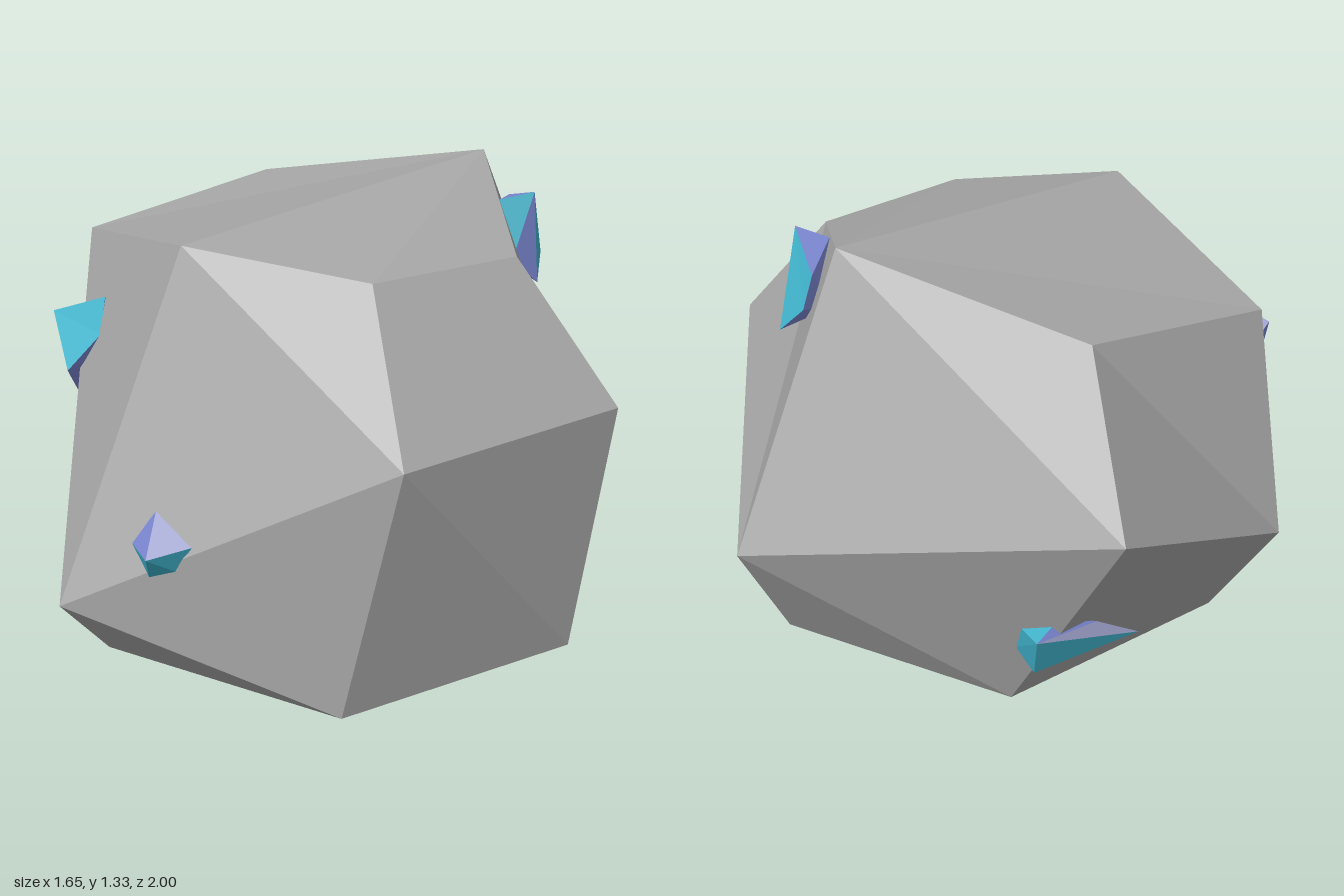
import * as THREE from 'three';

const makeMaterial = (name, color) => {
  const m = new THREE.MeshStandardMaterial({ color, flatShading: true });
  m.name = name;
  return m;
};

// Flat-shaded geometry from a list of triangles, each with three [x, y, z] corners
function facets(triangles) {
  const geometry = new THREE.BufferGeometry();
  geometry.setAttribute('position', new THREE.Float32BufferAttribute(triangles.flat(2), 3));
  geometry.computeVertexNormals();
  return geometry;
}

// Boulder: three six-sided rings, joined by two bands and closed with fans
function boulderGeometry() {
  const base = [];
  for (let i = 0; i < 6; i++) {
    const a = (i * Math.PI) / 3;
    base.push([0.035 + 0.785 * Math.sin(a), 0, 0.16 + 0.785 * Math.cos(a)]);
  }
  const waist = [
    [0.19, 0.757, 1.0], [0.82, 0.75, 0.535], [0.825, 0.485, -0.49],
    [-0.23, 0.84, -1.0], [-0.797, 0.42, -0.42], [-0.752, 0.24, 0.74],
  ];
  const crown = [
    [0.12, 1.145, 0.62], [0.54, 1.14, 0.35], [0.495, 1.325, -0.195],
    [-0.19, 1.18, -0.54], [-0.735, 1.075, -0.2], [-0.4, 1.215, 0.49],
  ];
  const tris = [];
  for (const [low, high] of [[base, waist], [waist, crown]]) {
    for (let i = 0; i < 6; i++) {
      const j = (i + 1) % 6;
      tris.push([low[i], low[j], high[i]], [low[j], high[j], high[i]]);
    }
  }
  // The crown fans out from its highest corner
  for (let k = 1; k < 5; k++) {
    tris.push([crown[2], crown[(2 + k) % 6], crown[(3 + k) % 6]]);
    tris.push([base[0], base[k + 1], base[k]]);
  }
  return facets(tris);
}

// Gem: a ring of corners joined to an outer tip and to a root buried in the boulder.
// colors holds one letter per tip facet; root facets are violet.
function makeGem(name, materials, { tip, ring, root, colors }) {
  const all = [tip, root, ...ring];
  const centre = new THREE.Vector3();
  all.forEach((p) => centre.add(new THREE.Vector3(...p)));
  centre.divideScalar(all.length);

  // Order the corners so that each facet looks away from the centre
  const outward = (a, b, c) => {
    const [A, B, C] = [a, b, c].map((p) => new THREE.Vector3(...p));
    const normal = B.clone().sub(A).cross(C.clone().sub(A));
    return normal.dot(A.sub(centre)) < 0 ? [a, c, b] : [a, b, c];
  };

  const byColor = { t: [], v: [], p: [] };
  ring.forEach((p, i) => {
    const q = ring[(i + 1) % ring.length];
    byColor[colors[i]].push(outward(tip, p, q));
    byColor.v.push(outward(root, p, q));
  });

  const gem = new THREE.Group();
  gem.name = name;
  for (const key of Object.keys(byColor)) {
    if (!byColor[key].length) continue;
    const mesh = new THREE.Mesh(facets(byColor[key]), materials[key]);
    mesh.name = `${name} ${materials[key].name} facets`;
    gem.add(mesh);
  }
  return gem;
}

const GEMS = {
  frontGem: {
    tip: [-0.49, 0.455, 0.885],
    ring: [[-0.47, 0.54, 0.755], [-0.54, 0.445, 0.755], [-0.49, 0.33, 0.78],
      [-0.385, 0.37, 0.81], [-0.37, 0.47, 0.84]],
    root: [-0.44, 0.43, 0.68],
    colors: 'vtttp',
  },
  rightGem: {
    tip: [-0.83, 0.885, 0.055],
    ring: [[-0.66, 0.955, 0.14], [-0.76, 0.86, -0.04], [-0.77, 0.6, 0.02],
      [-0.77, 0.755, 0.235], [-0.67, 0.86, 0.21]],
    root: [-0.62, 0.8, 0.08],
    colors: 'pvttt',
  },
  leftGem: {
    tip: [0.62, 1.26, 0.085],
    ring: [[0.57, 1.2, -0.12], [0.6, 1.11, -0.16], [0.675, 1.02, -0.11],
      [0.645, 0.97, 0.055], [0.56, 1.05, 0.1], [0.52, 1.23, 0.06]],
    root: [0.5, 1.05, -0.02],
    colors: 'tttvtv',
  },
  backGem: {
    tip: [-0.02, 0.39, -0.835],
    ring: [[-0.08, 0.43, -0.79], [-0.2, 0.39, -0.75], [-0.33, 0.3, -0.7],
      [-0.02, 0.22, -0.765], [0.03, 0.28, -0.715], [0.03, 0.38, -0.73]],
    root: [-0.1, 0.33, -0.65],
    colors: 'vptttt',
  },
};

export function createModel() {
  const model = new THREE.Group();
  model.name = 'gemBoulder';

  const boulder = new THREE.Mesh(boulderGeometry(), makeMaterial('stone grey', 0xa6a6a6));
  boulder.name = 'boulder';
  model.add(boulder);

  const gemMaterials = {
    t: makeMaterial('teal', 0x40b2ca),
    v: makeMaterial('violet', 0x7c87d2),
    p: makeMaterial('pale lavender', 0xa2a6d0),
  };
  for (const [name, shape] of Object.entries(GEMS)) {
    model.add(makeGem(name, gemMaterials, shape));
  }
  return model;
}
